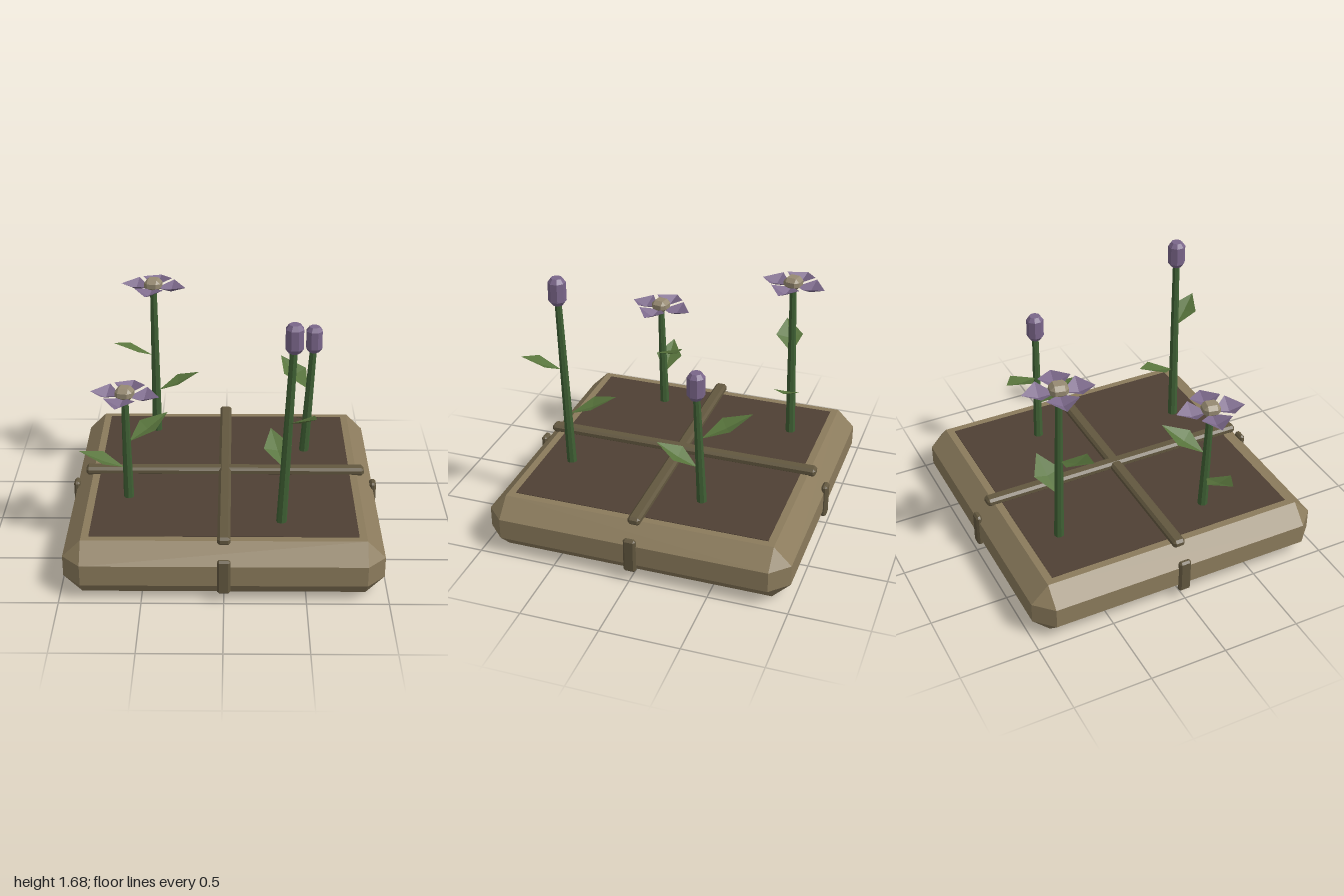
import * as THREE from 'three';
import { ConvexGeometry } from 'three/addons/geometries/ConvexGeometry.js';

const V = (x, y, z) => new THREE.Vector3(x, y, z);
const mat = (color, side = THREE.FrontSide) =>
  new THREE.MeshStandardMaterial({ color, side, flatShading: true });

const WOOD = mat(0x8b7b5c);
const TRIM = mat(0x62573f);
const SOIL = mat(0x4f4034);
const STEM = mat(0x3f6034);
const LEAF = mat(0x58743c, THREE.DoubleSide);
const PETAL = mat(0x7d6a8c, THREE.DoubleSide);
const BUD = mat(0x7a668a);
const CORE = mat(0x968a72);

function add(parent, name, geometry, material) {
  const mesh = new THREE.Mesh(geometry, material);
  mesh.name = name;
  parent.add(mesh);
  return mesh;
}

// Box with every edge and corner cut by c
function chamferBox(w, h, d, c) {
  const points = [];
  for (const sx of [-1, 1]) for (const sy of [-1, 1]) for (const sz of [-1, 1]) {
    const [x, y, z] = [w / 2, h / 2, d / 2];
    points.push(V(sx * x, sy * (y - c), sz * (z - c)));
    points.push(V(sx * (x - c), sy * y, sz * (z - c)));
    points.push(V(sx * (x - c), sy * (y - c), sz * z));
  }
  return new ConvexGeometry(points);
}

// Folded diamond blade: raised side corners, sunken middle
function blade(base, tip, half, wideAt, lift, sag) {
  const dir = tip.clone().sub(base);
  const side = dir.clone().cross(V(0, 1, 0)).setLength(half);
  const mid = base.clone().addScaledVector(dir, wideAt);
  const right = mid.clone().add(side).add(V(0, lift, 0));
  const left = mid.clone().sub(side).add(V(0, lift, 0));
  mid.y -= sag;
  const geometry = new THREE.BufferGeometry().setFromPoints([
    base, right, mid, right, tip, mid, tip, left, mid, left, base, mid]);
  geometry.computeVertexNormals();
  return geometry;
}

// Tapered stem between two points
function stem(parent, from, to) {
  const dir = to.clone().sub(from);
  const mesh = add(parent, 'stem', new THREE.CylinderGeometry(0.022, 0.033, dir.length(), 8), STEM);
  mesh.position.copy(from).addScaledVector(dir, 0.5);
  mesh.quaternion.setFromUnitVectors(V(0, 1, 0), dir.normalize());
}

// Open flower: four petals around a blocky centre
function blossom(parent, at) {
  const head = new THREE.Group();
  head.name = 'blossom';
  head.position.copy(at);
  head.rotation.y = -0.2;
  for (let i = 0; i < 4; i++) {
    const petal = add(head, 'petal', blade(V(0.02, -0.01, 0), V(0.22, 0.005, 0), 0.1, 0.5, 0.025, 0.025), PETAL);
    petal.rotation.y = i * Math.PI / 2;
  }
  add(head, 'flowerCentre', chamferBox(0.11, 0.08, 0.11, 0.025), CORE).position.y = 0.015;
  parent.add(head);
}

// Closed bud: eight-sided barrel with cut ends
function bud(parent, at) {
  const profile = [[0, -0.088], [0.035, -0.088], [0.056, -0.06], [0.056, 0.06], [0.035, 0.088], [0, 0.088]]
    .map(([r, y]) => new THREE.Vector2(r, y));
  const mesh = add(parent, 'bud', new THREE.LatheGeometry(profile, 8, Math.PI / 8), BUD);
  mesh.position.copy(at);
}

// Each plant: stem foot, head centre, head type, leaves as [base height, tip]
const PLANTS = [
  { foot: V(-0.48, 0.35, -0.62), head: V(-0.483, 1.44, -0.595), top: blossom,
    leaves: [[0.67, V(-0.185, 0.8, -0.63)], [0.94, V(-0.755, 1.07, -0.5)]] },
  { foot: V(-0.61, 0.35, 0.33), head: V(-0.613, 1.085, 0.354), top: blossom,
    leaves: [[0.575, V(-0.91, 0.7, 0.362)], [0.755, V(-0.362, 0.875, 0.155)]] },
  { foot: V(0.353, 0.35, 0.635), head: V(0.406, 1.592, 0.658), top: bud,
    leaves: [[1.05, V(0.535, 1.175, 0.865)], [0.725, V(0.287, 0.855, 0.335)]] },
  { foot: V(0.535, 0.35, -0.315), head: V(0.582, 1.192, -0.288), top: bud,
    leaves: [[0.61, V(0.55, 0.74, -0.025)], [0.82, V(0.378, 0.945, -0.588)]] },
];

export function createModel() {
  const model = new THREE.Group();
  model.name = 'flowerPlanter';

  // Planter body and soil bed
  add(model, 'planterBox', chamferBox(1.96, 0.36, 1.96, 0.113), WOOD).position.y = 0.18;
  add(model, 'soil', new THREE.BoxGeometry(1.64, 0.04, 1.64), SOIL).position.y = 0.343;

  // Crossed dividers
  add(model, 'dividerAcross', chamferBox(1.83, 0.055, 0.08, 0.016), TRIM).position.y = 0.376;
  add(model, 'dividerLengthwise', chamferBox(0.08, 0.055, 1.83, 0.016), TRIM).position.y = 0.378;

  // Upright clips at the middle of each side
  for (let i = 0; i < 4; i++) {
    const a = i * Math.PI / 2;
    const clip = add(model, 'sideClip', chamferBox(0.08, 0.23, 0.04, 0.013), TRIM);
    clip.position.set(Math.sin(a) * 0.98, 0.18, Math.cos(a) * 0.98);
    clip.rotation.y = a;
  }

  // Plants
  for (const { foot, head, top, leaves } of PLANTS) {
    const plant = new THREE.Group();
    plant.name = 'plant';
    model.add(plant);
    stem(plant, foot, head);
    top(plant, head);
    for (const [y, tip] of leaves) {
      const base = foot.clone().lerp(head, (y - foot.y) / (head.y - foot.y));
      base.add(V(tip.x - base.x, 0, tip.z - base.z).setLength(0.02));
      add(plant, 'leaf', blade(base, tip, 0.09, 0.47, 0.015, 0.01), LEAF);
    }
  }
  return model;
}
